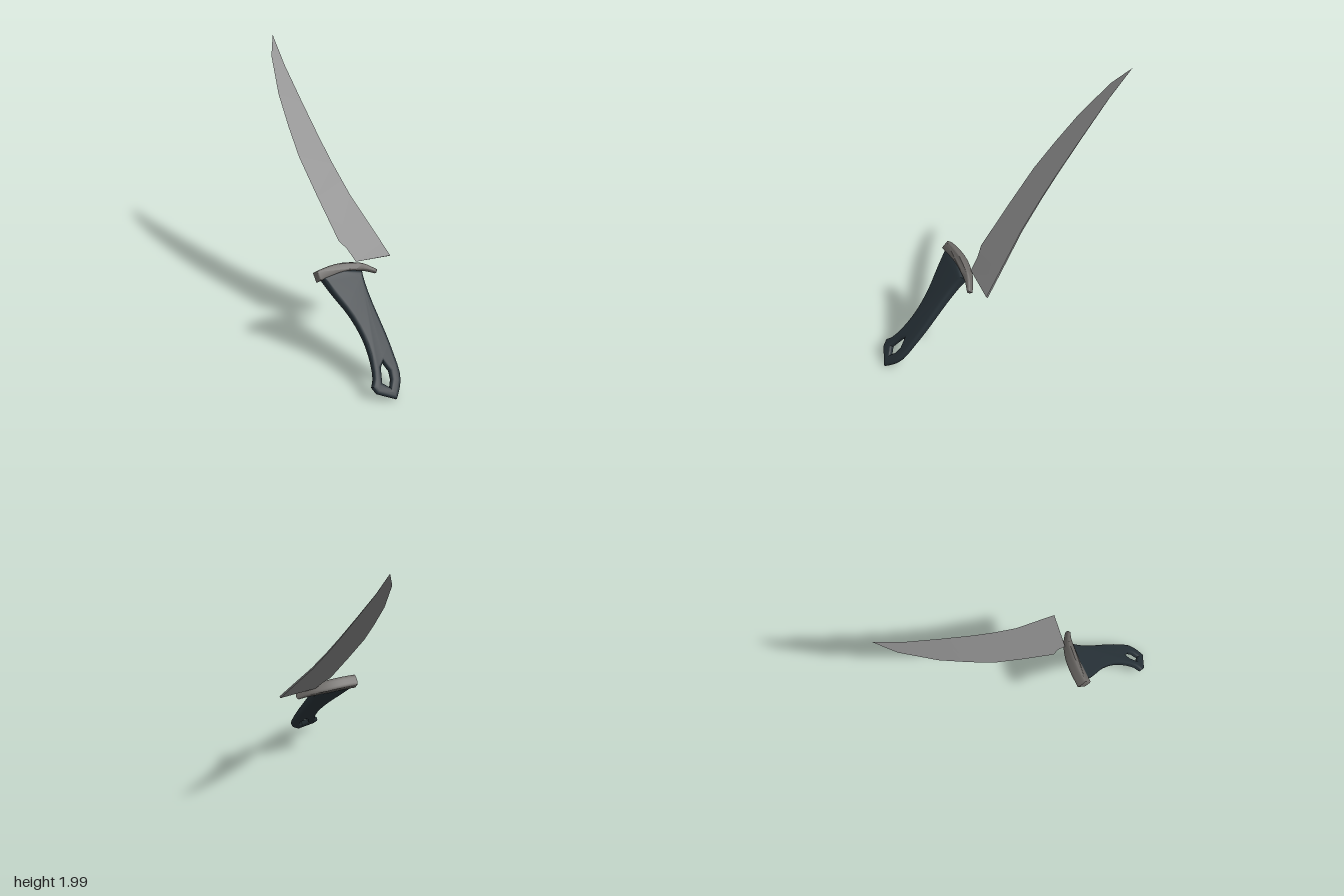
import * as THREE from 'three';
import { toCreasedNormals } from 'three/addons/utils/BufferGeometryUtils.js';

const pts = list => list.map(([x, y]) => new THREE.Vector2(x, y));
const smooth = (list, n) => new THREE.SplineCurve(pts(list)).getPoints(n);

function part(name, geometry, color) {
  const mesh = new THREE.Mesh(geometry, new THREE.MeshStandardMaterial({ color }));
  mesh.name = name;
  return mesh;
}

// Rounded plate from a flat outline; half(x, y) gives the half thickness at each place.
function plate(shape, bevel, half) {
  const geo = new THREE.ExtrudeGeometry(shape, {
    depth: 1, bevelEnabled: true, bevelSize: bevel, bevelOffset: -bevel,
    bevelThickness: 1, bevelSegments: 4, curveSegments: 6,
  });
  const p = geo.attributes.position;
  for (let i = 0; i < p.count; i++) {
    const z = (p.getZ(i) - 0.5) / 1.5;
    p.setZ(i, z * half(p.getX(i), p.getY(i)));
  }
  return toCreasedNormals(geo, 0.6);
}

// Wedge blade: each station holds a spine point and an edge point.
function bladeGeometry() {
  const stations = [
    [0, 0, 0.268, 0.074], [0.012, 0.11, 0.282, 0.181], [0.024, 0.22, 0.312, 0.262],
    [0.058, 0.518, 0.298, 0.62], [0.064, 0.78, 0.28, 0.927], [0.061, 0.989, 0.241, 1.16],
    [0.048, 1.295, 0.189, 1.409], [0.031, 1.6, 0.093, 1.696], [0, 1.846, 0, 1.846],
  ];
  const rings = stations.map(([sx, sy, ex, ey]) => {
    const t = 0.008 * (1 - sy / 1.846);
    return [[sx, sy, t], [ex, ey, 0], [sx, sy, -t]];
  });
  const v = [];
  for (let i = 0; i < rings.length - 1; i++) {
    const a = rings[i], b = rings[i + 1];
    for (let k = 0; k < 3; k++) {
      const n = (k + 1) % 3;
      v.push(...a[k], ...a[n], ...b[n], ...a[k], ...b[n], ...b[k]);
    }
  }
  const [s, e, r] = rings[0];
  v.push(...s, ...r, ...e); // heel
  const geo = new THREE.BufferGeometry();
  geo.setAttribute('position', new THREE.Float32BufferAttribute(v, 3));
  return toCreasedNormals(geo, 0.3);
}

function handleGeometry() {
  const front = smooth([[0.575, 0.09], [0.548, -0.06], [0.51, -0.229], [0.5, -0.402],
    [0.521, -0.549], [0.565, -0.678], [0.612, -0.735]], 14);
  const back = smooth([[0.487, -0.89], [0.424, -0.832], [0.374, -0.752], [0.348, -0.614],
    [0.328, -0.459], [0.311, -0.237], [0.291, -0.09], [0.268, 0]], 14);
  const outline = [...front, ...pts([[0.6, -0.79]]), ...back, ...pts([[0.4, 0.07]])];
  const shape = new THREE.Shape(outline);
  // lanyard hole
  shape.holes.push(new THREE.Path(pts([[0.452, -0.625], [0.438, -0.7], [0.455, -0.755],
    [0.491, -0.8], [0.53, -0.745], [0.485, -0.65]])));
  return plate(shape, 0.024, (x, y) => 0.038 + 0.02 * y);
}

function guardGeometry() {
  const top = smooth([[0.592, 0.142], [0.49, 0.136], [0.387, 0.115], [0.3, 0.08],
    [0.236, 0.045], [0.19, 0], [0.15, -0.045]], 12);
  const bottom = smooth([[0.17, -0.062], [0.21, -0.03], [0.26, 0], [0.4, 0.05], [0.603, 0.07]], 10);
  return plate(new THREE.Shape([...top, ...bottom]), 0.01,
    x => 0.022 + 0.021 * Math.min(1, Math.max(0, (x - 0.15) / 0.2)));
}

export function createModel() {
  const group = new THREE.Group();
  group.name = 'knife';
  group.add(
    part('blade', bladeGeometry(), 0x808080),
    part('guard', guardGeometry(), 0x6b6865),
    part('handle', handleGeometry(), 0x263036),
  );
  // Tilt: local y runs from heel to tip, local x from spine to cutting edge.
  const along = new THREE.Vector3(-0.694, 0.71, -0.119).normalize();
  const normal = new THREE.Vector3(-0.25, -0.083, 0.965).cross(along).normalize();
  const across = new THREE.Vector3().crossVectors(along, normal);
  group.quaternion.setFromRotationMatrix(new THREE.Matrix4().makeBasis(across, along, normal));
  group.position.set(0.39, 0.69, -0.23);
  return group;
}
